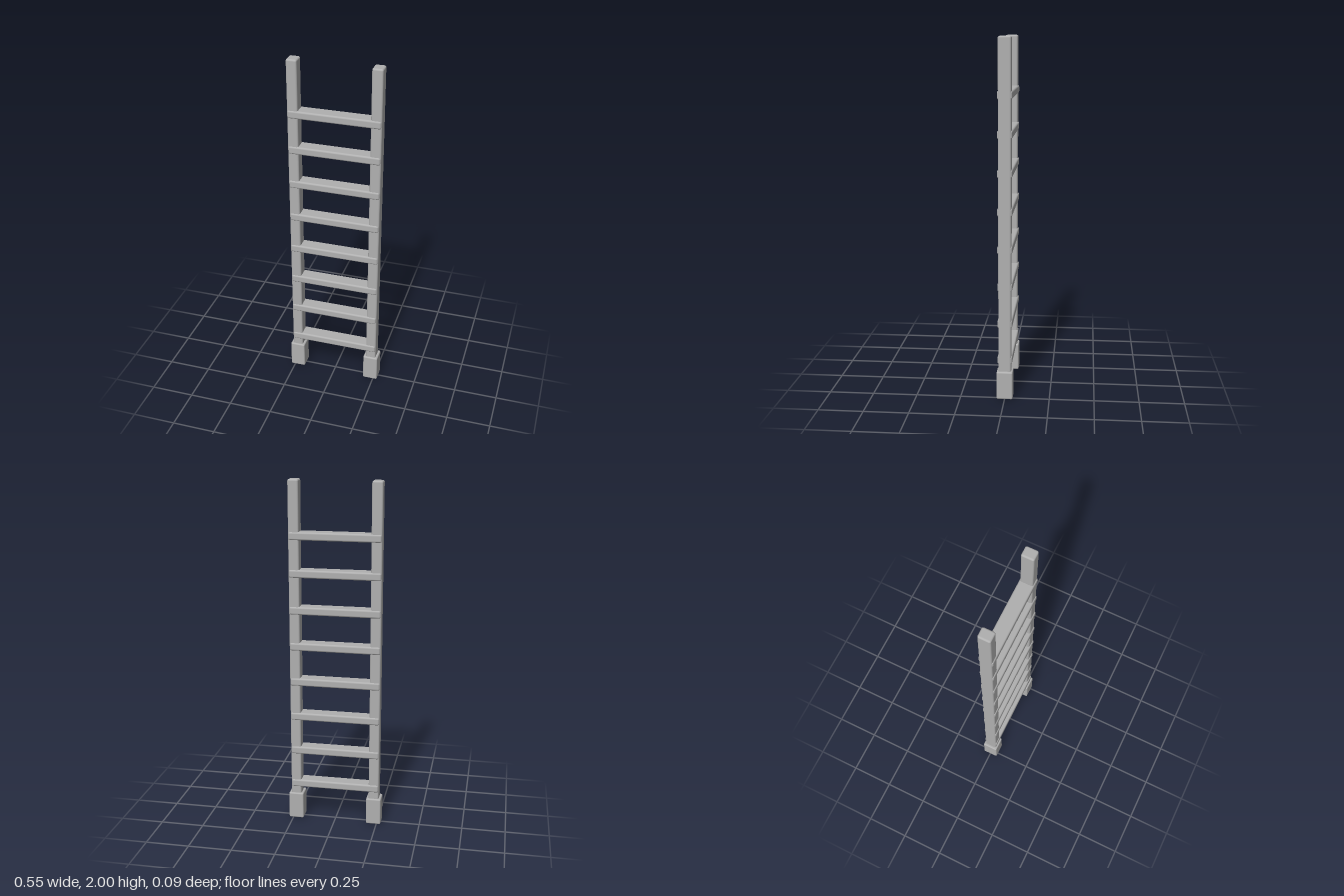
import * as THREE from 'three';
import { RoundedBoxGeometry } from 'three/addons/geometries/RoundedBoxGeometry.js';

export function createModel() {
  const ladder = new THREE.Group();
  ladder.name = 'ladder';
  const grey = new THREE.MeshStandardMaterial({ color: 0xb0b0b0 });
  grey.name = 'grey';

  const add = (name, geometry, x, y) => {
    const mesh = new THREE.Mesh(geometry, grey);
    mesh.name = name;
    mesh.position.set(x, y, 0);
    ladder.add(mesh);
  };

  // Side rails standing in chunky feet, mirrored left and right
  const rail = new RoundedBoxGeometry(0.06, 1.9, 0.071, 3, 0.01);
  const foot = new RoundedBoxGeometry(0.087, 0.16, 0.09, 3, 0.008);
  for (const [label, side] of [['left', 1], ['right', -1]]) {
    add(label + 'Rail', rail, side * 0.231, 1.05);
    add(label + 'Foot', foot, side * 0.231, 0.08);
  }

  // Evenly spaced rungs, slightly deeper than the rails
  const rung = new RoundedBoxGeometry(0.516, 0.045, 0.082, 3, 0.01);
  for (let i = 0; i < 8; i++) add('rung' + (i + 1), rung, 0, 0.223 + i * 0.21);

  return ladder;
}
